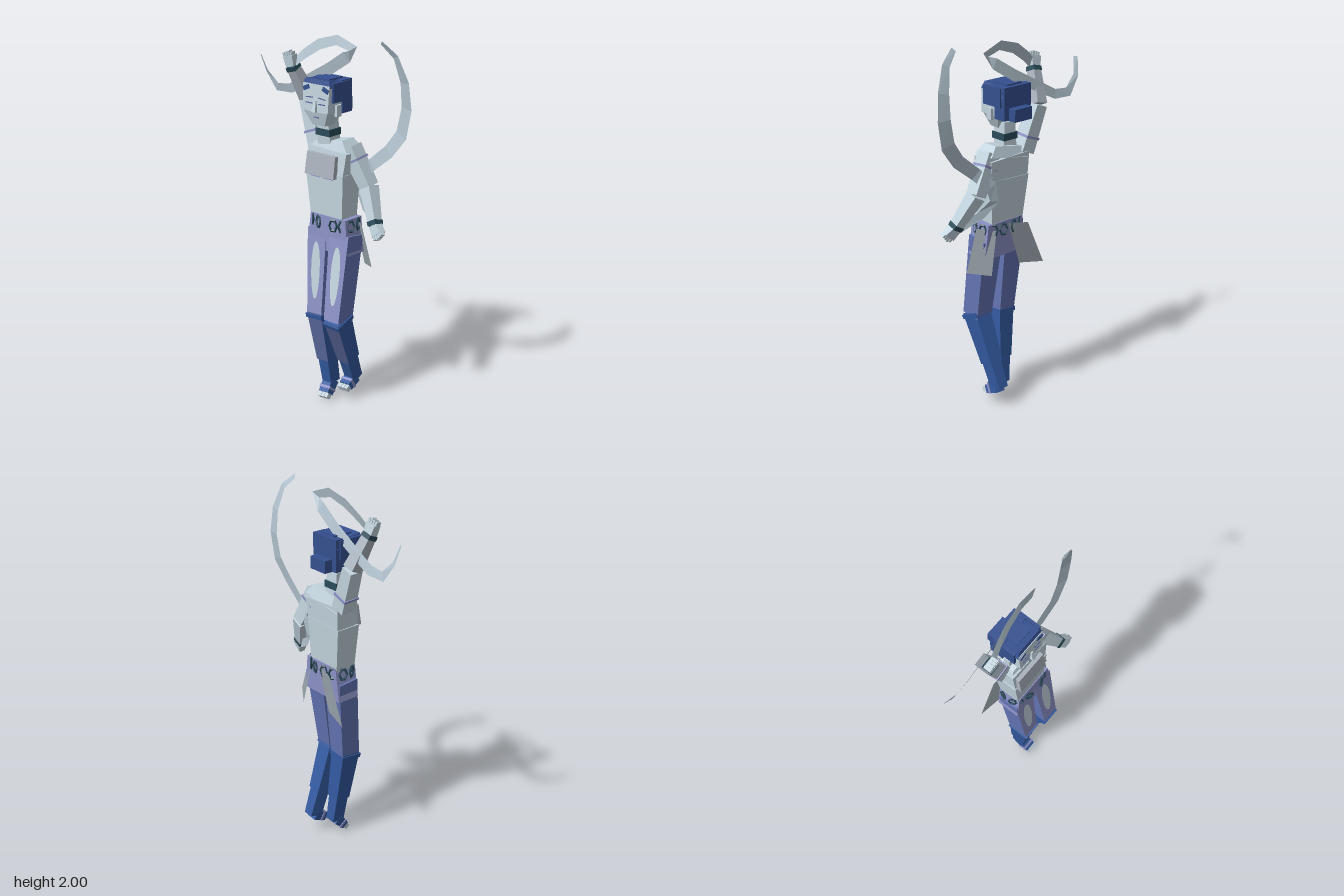
import * as THREE from 'three';

const mat = (name, color, side = THREE.FrontSide) =>
  Object.assign(new THREE.MeshStandardMaterial({ color, flatShading: true, side }), { name });

// Maps a unit-space geometry onto a tapered segment s = [start, end, [w, d] at start, [w, d] at end]
function warp(geo, [a, b, sa, sb]) {
  const A = new THREE.Vector3(...a), B = new THREE.Vector3(...b);
  const t = B.clone().sub(A).normalize();
  const u = t.clone().cross(new THREE.Vector3(0, 0, 1)).normalize();
  const v = u.clone().cross(t);
  const p = geo.attributes.position;
  const q = new THREE.Vector3();
  for (let i = 0; i < p.count; i++) {
    const k = p.getY(i) + 0.5;
    q.copy(A).lerp(B, k)
      .addScaledVector(u, p.getX(i) * THREE.MathUtils.lerp(sa[0], sb[0], k))
      .addScaledVector(v, p.getZ(i) * THREE.MathUtils.lerp(sa[1], sb[1], k));
    p.setXYZ(i, q.x, q.y, q.z);
  }
  geo.computeVertexNormals();
  return geo;
}

export function createModel() {
  const model = new THREE.Group();
  const skin = mat('pale skin', 0xc3d4de);
  const cloth = mat('grey cloth', 0xa9b1bb);
  const ribbonMat = mat('ribbon', 0xb4c5d0, THREE.DoubleSide);
  const panelMat = mat('skirt panel', 0x9ba6ad, THREE.DoubleSide);
  const lavender = mat('lavender', 0x8d92c6);
  const thighBlue = mat('thigh blue', 0x6475b5);
  const blue = mat('calf blue', 0x33599f);
  const slate = mat('shin slate', 0x5c6a9c);
  const hairBlue = mat('hair blue', 0x35508f);
  const teal = mat('dark teal', 0x2b4c5a);

  const add = (name, geo, material, parent = model) => {
    const m = new THREE.Mesh(geo, material);
    m.name = name;
    parent.add(m);
    return m;
  };
  const box = (name, m, w, h, d, x, y, z) => {
    const o = add(name, new THREE.BoxGeometry(w, h, d), m);
    o.position.set(x, y, z);
    return o;
  };
  const seg = (name, m, s) => add(name, warp(new THREE.BoxGeometry(1, 1, 1), s), m);
  // Slightly oversized cuff around a segment, centred at fraction k
  const band = (name, m, s, k, h) =>
    add(name, warp(new THREE.BoxGeometry(1.12, h, 1.12).translate(0, k - 0.5, 0), s), m);
  // Thin oval laid on the front of a segment
  const oval = (name, m, s, rx, ry) =>
    add(name, warp(new THREE.CircleGeometry(0.5, 16).scale(rx, ry, 1).translate(0, -0.02, 0.515), s), m);

  // Torso
  seg('hips', lavender, [[0.06, 0.87, 0], [0.06, 1.06, -0.005], [0.28, 0.13], [0.235, 0.13]]);
  seg('waist', skin, [[0.045, 1.04, -0.005], [0.035, 1.29, -0.01], [0.21, 0.12], [0.25, 0.14]]);
  seg('ribcage', skin, [[0.035, 1.28, -0.01], [0.04, 1.41, -0.02], [0.24, 0.135], [0.26, 0.13]]);
  seg('shoulders', skin, [[0.04, 1.4, -0.02], [0.03, 1.455, -0.02], [0.26, 0.13], [0.19, 0.09]]);
  seg('bustWrap', cloth, [[0.022, 1.275, 0.045], [0.022, 1.39, 0.04], [0.195, 0.085], [0.19, 0.06]]);
  for (const x of [-0.045, 0.085])
    seg('strap', lavender, [[x, 1.385, 0.045], [x * 0.8 + 0.005, 1.44, 0.01], [0.02, 0.01], [0.006, 0.01]]);
  for (const x of [-0.02, 0.065]) box('hemTrim', lavender, 0.06, 0.014, 0.006, x, 1.272, 0.065);

  // Neck, head and hair
  seg('neck', skin, [[0.01, 1.43, -0.01], [0.005, 1.57, 0], [0.085, 0.08], [0.075, 0.08]]);
  box('collar', teal, 0.092, 0.036, 0.092, 0.007, 1.498, -0.005);
  seg('face', skin, [[0, 1.61, 0.025], [0, 1.75, 0.02], [0.165, 0.125], [0.175, 0.12]]);
  seg('jaw', skin, [[0.003, 1.535, 0.035], [0, 1.612, 0.025], [0.08, 0.06], [0.165, 0.125]]);
  seg('nose', skin, [[0, 1.612, 0.09], [0, 1.67, 0.085], [0.026, 0.03], [0.012, 0.012]]);
  box('mouth', slate, 0.03, 0.004, 0.006, 0.002, 1.583, 0.082);
  for (const s of [-1, 1]) {
    box('closedEye', slate, 0.042, 0.005, 0.004, s * 0.042, 1.655, 0.087);
    box('brow', slate, 0.045, 0.005, 0.004, s * 0.042, 1.684, 0.085).rotation.z = -s * 0.1;
    box('ear', skin, 0.016, 0.06, 0.035, s * 0.09, 1.62, 0.015);
    box('sideHair', hairBlue, 0.016, 0.1, 0.13, s * 0.09, 1.715, -0.005);
    box('fringe', hairBlue, 0.04, 0.022, 0.012, s * 0.064, 1.73, 0.08).rotation.z = -s * 0.4;
  }
  box('hairBack', hairBlue, 0.18, 0.17, 0.075, 0, 1.685, -0.055);
  seg('hairCrown', hairBlue, [[0, 1.73, -0.005], [0, 1.765, -0.01], [0.185, 0.17], [0.155, 0.16]]);
  box('hairTop', hairBlue, 0.1, 0.015, 0.11, 0, 1.77, -0.015);
  box('bun', hairBlue, 0.115, 0.065, 0.055, 0, 1.63, -0.11);

  // Arms: raised right, lowered left
  const arms = [
    ['right', [-0.085, 1.4, -0.04], [-0.172, 1.635, -0.055], [-0.215, 1.81, 0.02], [-0.225, 1.865, 0.03]],
    ['left', [0.135, 1.43, -0.03], [0.243, 1.235, -0.05], [0.335, 1.065, 0.01], [0.37, 1.025, 0.025]],
  ];
  for (const [side, shoulder, elbow, wrist, palm] of arms) {
    const upper = [shoulder, elbow, [0.085, 0.085], [0.07, 0.075]];
    const fore = [elbow, wrist, [0.07, 0.075], [0.05, 0.05]];
    seg(side + 'UpperArm', skin, upper);
    band(side + 'ArmBand', lavender, upper, 0.32, 0.05);
    seg(side + 'Forearm', side === 'right' ? cloth : skin, fore);
    band(side + 'Bracelet', teal, fore, 0.95, 0.12);
    const hand = [wrist, palm, [0.052, 0.045], [0.065, 0.04]];
    seg(side + 'Hand', skin, hand);
    for (let i = 0; i < 4; i++)
      add(side + 'Finger', warp(new THREE.BoxGeometry(0.2, 0.55, 0.7)
        .translate(-0.375 + i * 0.25, 0.55 + (i % 3) * 0.06, 0.1), hand), skin);
  }

  // Legs: [name, hip, knee, ankle, toe]
  const legs = [
    ['right', [-0.015, 0.97, 0], [0, 0.5, 0.045], [0.033, 0.09, 0.0], [0.04, 0.03, 0.055]],
    ['left', [0.135, 0.97, 0], [0.14, 0.5, 0.07], [0.122, 0.11, -0.085], [0.125, 0.075, -0.015]],
  ];
  const sides = [thighBlue, thighBlue, thighBlue, thighBlue, lavender, thighBlue];
  for (const [side, hip, knee, ankle, toe] of legs) {
    const mix = (k) => knee.map((c, i) => c + (ankle[i] - c) * k);
    const thigh = [hip, knee, [0.13, 0.12], [0.1, 0.115]];
    const calf = [mix(-0.04), mix(0.66), [0.1, 0.115], [0.08, 0.09]];
    seg(side + 'Thigh', sides, thigh);
    oval(side + 'ThighHighlight', skin, thigh, 0.52, 0.68);
    seg(side + 'Calf', [blue, blue, blue, blue, slate, blue], calf);
    band(side + 'KneeTrim', blue, calf, 0.06, 0.08).scale.set(1, 1, 1);
    seg(side + 'Shin', blue, [mix(0.6), mix(1.02), [0.07, 0.08], [0.06, 0.075]]);
    // Pointed foot with bare toes
    const foot = [ankle, toe, [0.062, 0.06], [0.066, 0.045]];
    seg(side + 'Foot', blue, foot);
    band(side + 'FootStrap', lavender, foot, 0.65, 0.18);
    for (let i = 0; i < 3; i++)
      add(side + 'Toe', warp(new THREE.BoxGeometry(0.3, 0.45, 0.7)
        .translate(-0.34 + i * 0.34, 0.6, 0), foot), skin);
  }

  // Belt of pointed loops, open at the front centre
  for (const deg of [-68, -48, -20, 22, 45, 68, 110, 140, 165, 195, 220, 250]) {
    const a = THREE.MathUtils.degToRad(deg);
    const ring = add('beltLoop', new THREE.TorusGeometry(0.021, 0.006, 4, 6), teal);
    ring.scale.y = 1.5;
    ring.position.set(0.055 + 0.14 * Math.sin(a), 1.025, -0.005 + 0.085 * Math.cos(a));
    ring.rotation.y = a;
  }

  // Skirt panels behind and beside the hips
  const panel = (name, a, b, w, yaw) => {
    const half = [w * Math.cos(yaw) / 2, -w * Math.sin(yaw) / 2];
    const pts = [[a, -0.8], [b, -1], [b, 1], [a, 0.8]]
      .map(([p, s]) => [p[0] + s * half[0], p[1] + s * 0.012, p[2] + s * half[1]]);
    const g = new THREE.BufferGeometry();
    g.setAttribute('position', new THREE.Float32BufferAttribute(pts.flat(), 3));
    g.setIndex([0, 1, 2, 0, 2, 3]);
    g.computeVertexNormals();
    add(name, g, panelMat);
  };
  panel('backPanel', [0.0, 1.04, -0.1], [-0.095, 0.79, -0.1], 0.15, -0.2);
  panel('sidePanel', [0.175, 1.03, -0.05], [0.235, 0.8, -0.06], 0.13, -0.6);

  // Ribbons: flat strips through [x, y, z, width]
  const ribbon = (name, pts) => {
    const pos = [], idx = [];
    pts.forEach(([x, y, z, w], i) => {
      const p = pts[Math.max(i - 1, 0)], n = pts[Math.min(i + 1, pts.length - 1)];
      const dx = n[0] - p[0], dy = n[1] - p[1], l = Math.hypot(dx, dy) / (w / 2);
      pos.push(x - dy / l, y + dx / l, z + 0.006, x + dy / l, y - dx / l, z - 0.006);
      if (i) idx.push(2 * i - 2, 2 * i - 1, 2 * i, 2 * i - 1, 2 * i + 1, 2 * i);
    });
    const g = new THREE.BufferGeometry();
    g.setAttribute('position', new THREE.Float32BufferAttribute(pos, 3));
    g.setIndex(idx);
    g.computeVertexNormals();
    add(name, g, ribbonMat);
  };
  ribbon('leftRibbon', [
    [0.34, 1.99, -0.01, 0.025], [0.41, 1.925, -0.035, 0.04], [0.448, 1.8, -0.06, 0.06],
    [0.455, 1.67, -0.07, 0.07], [0.43, 1.535, -0.065, 0.075], [0.36, 1.44, -0.055, 0.07],
    [0.25, 1.35, -0.06, 0.065], [0.17, 1.27, -0.085, 0.06], [0.15, 1.19, -0.085, 0.05],
    [0.21, 1.12, -0.05, 0.045], [0.35, 1.045, 0.005, 0.04],
  ]);
  ribbon('rightRibbon', [
    [-0.48, 1.83, -0.02, 0.018], [-0.46, 1.74, -0.045, 0.025], [-0.395, 1.66, -0.055, 0.05],
    [-0.3, 1.665, -0.055, 0.05], [-0.19, 1.72, -0.052, 0.055], [-0.02, 1.81, -0.045, 0.06],
    [0.1, 1.885, -0.035, 0.06], [0.15, 1.935, -0.025, 0.05], [0.05, 1.968, -0.02, 0.05],
    [-0.06, 1.935, -0.01, 0.055], [-0.15, 1.875, 0.005, 0.05], [-0.21, 1.82, 0.02, 0.04],
  ]);
  return model;
}
